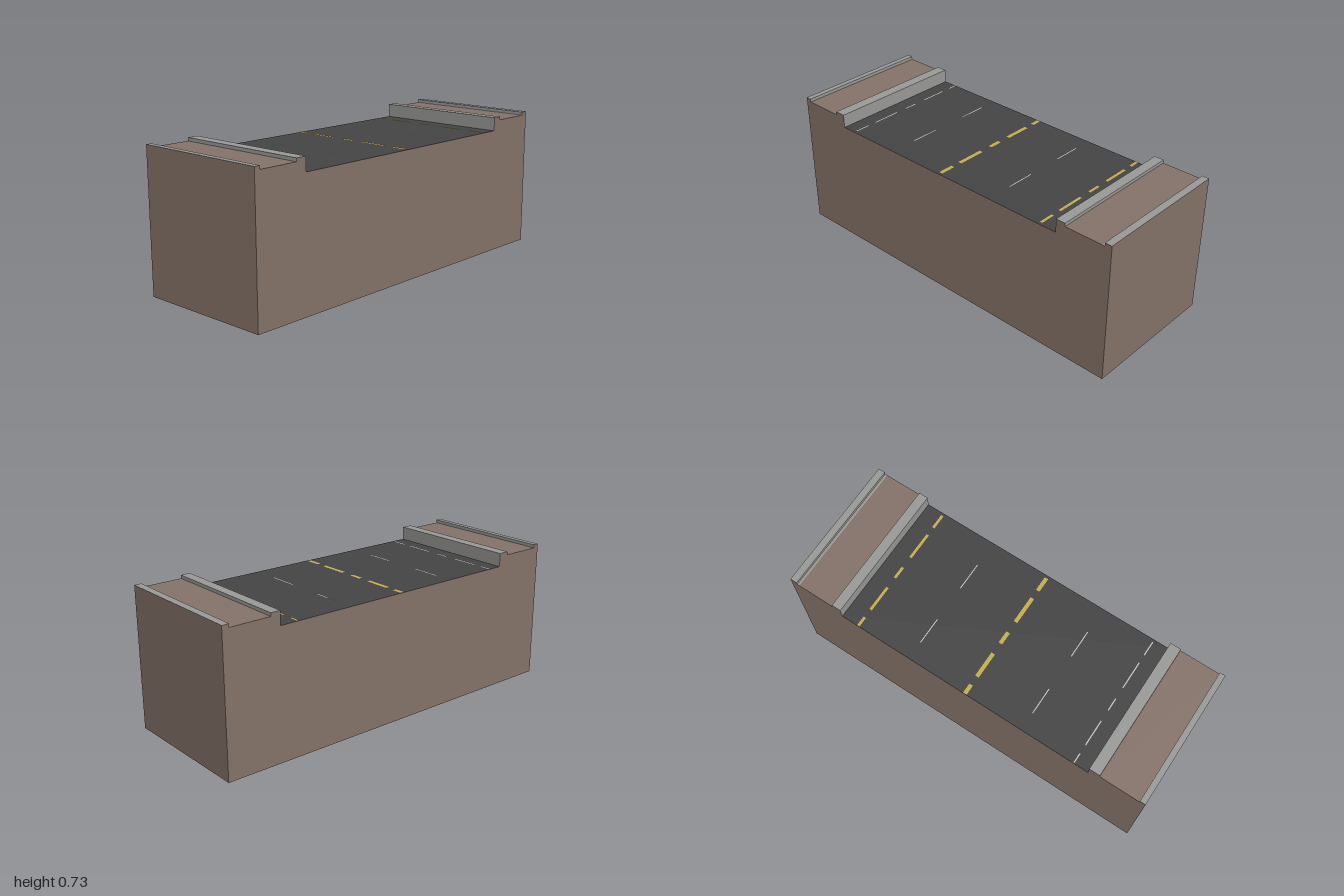
import * as THREE from 'three';

const HALF = 0.365; // half depth along z
const ROAD = 0.66, VERGE = 0.713, KERB = 0.73;

const mat = (name, color) => {
  const m = new THREE.MeshStandardMaterial({ color });
  m.name = name;
  return m;
};

export function createModel() {
  const group = new THREE.Group();
  const earth = mat('earth', 0x86746a);
  const asphalt = mat('asphalt', 0x454545);
  const concrete = mat('concrete', 0x9b9c99);
  const yellow = mat('yellowPaint', 0xc8b04c);
  const white = mat('whitePaint', 0xc4c4bc);

  const add = (name, geometry, material) => {
    const mesh = new THREE.Mesh(geometry, material);
    mesh.name = name;
    group.add(mesh);
    return mesh;
  };

  // Sweeps a run of [x, y] points from front to back as flat faces
  const profile = [];
  const strip = (name, material, points) => {
    const pos = [];
    for (let i = 0; i + 1 < points.length; i++) {
      const [ax, ay] = points[i], [bx, by] = points[i + 1];
      pos.push(ax, ay, HALF, bx, by, HALF, bx, by, -HALF);
      pos.push(ax, ay, HALF, bx, by, -HALF, ax, ay, -HALF);
    }
    const g = new THREE.BufferGeometry();
    g.setAttribute('position', new THREE.Float32BufferAttribute(pos, 3));
    g.computeVertexNormals();
    add(name, g, material);
    profile.push(...points.slice(0, -1));
  };

  // Outer skin, clockwise from the bottom corner at -x
  strip('rightSide', earth, [[-1, 0], [-1, KERB]]);
  strip('rightEdging', concrete, [[-1, KERB], [-0.97, KERB], [-0.97, VERGE]]);
  strip('rightVerge', earth, [[-0.97, VERGE], [-0.76, VERGE]]);
  strip('rightKerb', concrete, [[-0.76, VERGE], [-0.76, KERB], [-0.703, KERB], [-0.703, ROAD]]);
  strip('roadSurface', asphalt, [[-0.703, ROAD], [0.7, ROAD]]);
  strip('leftKerb', concrete, [[0.7, ROAD], [0.7, KERB], [0.75, KERB], [0.75, VERGE]]);
  strip('leftVerge', earth, [[0.75, VERGE], [0.95, VERGE]]);
  strip('leftEdging', concrete, [[0.95, VERGE], [0.963, VERGE], [0.963, KERB], [1, KERB]]);
  strip('leftSide', earth, [[1, KERB], [1, 0]]);
  strip('underside', asphalt, [[1, 0], [-1, 0]]);

  // Cut ends of the block share the full cross-section
  const section = new THREE.Shape(profile.map(([x, y]) => new THREE.Vector2(x, y)));
  add('frontEnd', new THREE.ShapeGeometry(section), earth).position.z = HALF;
  const mirrored = new THREE.Shape(profile.map(([x, y]) => new THREE.Vector2(-x, y)));
  const back = add('backEnd', new THREE.ShapeGeometry(mirrored), earth);
  back.position.z = -HALF;
  back.rotation.y = Math.PI;

  // Painted lane markings, each dash given as [start z, end z]
  const edgeDashes = [[-0.363, -0.31], [-0.262, -0.122], [-0.06, 0.008], [0.072, 0.222], [0.27, 0.35]];
  const laneDashes = [[-0.268, -0.125], [0.072, 0.222]];
  const markings = [
    ['centreLine', -0.018, 0.02, yellow, edgeDashes],
    ['leftEdgeLine', 0.605, 0.014, yellow, edgeDashes],
    ['rightEdgeLine', -0.625, 0.006, white, edgeDashes],
    ['rightLaneLine', -0.337, 0.005, white, laneDashes],
    ['leftLaneLine', 0.305, 0.005, white, laneDashes],
  ];
  for (const [name, x, width, material, dashes] of markings) {
    for (const [z0, z1] of dashes) {
      const g = new THREE.PlaneGeometry(width, z1 - z0).rotateX(-Math.PI / 2);
      add(name, g, material).position.set(x, ROAD + 0.002, (z0 + z1) / 2);
    }
  }
  return group;
}
